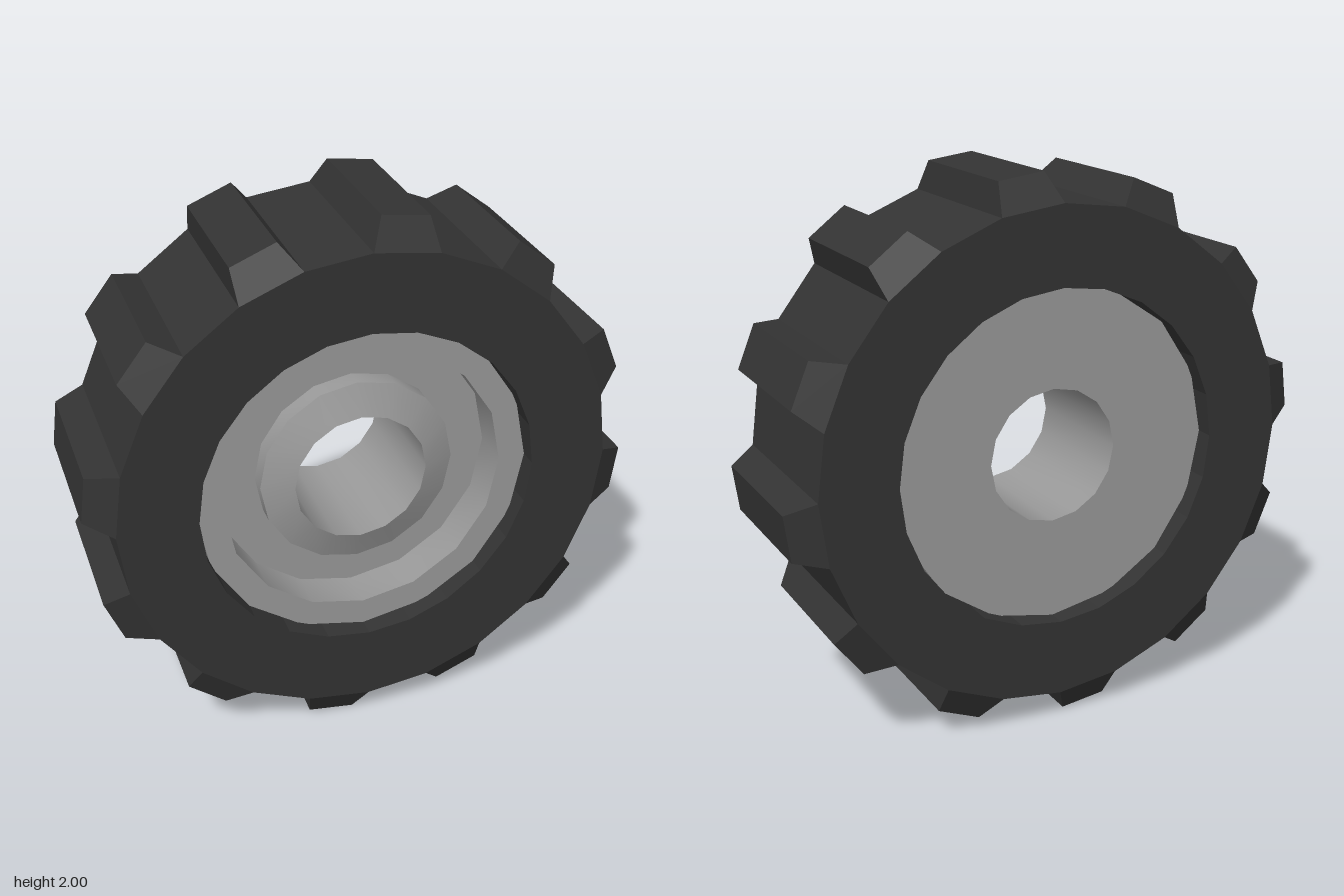
import * as THREE from 'three';
import { toCreasedNormals } from 'three/addons/utils/BufferGeometryUtils.js';

// Revolve a closed (radius, z) profile around the z axis
function revolve(profile, segments) {
  const points = profile.map(([r, z]) => new THREE.Vector2(r, z));
  return new THREE.LatheGeometry(points, segments).rotateX(Math.PI / 2);
}

// Tapered block on one face of the 24-sided tyre, open underneath
function lugGeometry() {
  const ring = (radius, halfAngle, halfZ) =>
    [[-1, -1], [1, -1], [1, 1], [-1, 1]].map(([a, z]) =>
      [radius * Math.sin(a * halfAngle), radius * Math.cos(a * halfAngle), z * halfZ]);
  const corners = [
    ...ring(0.9, Math.PI / 24, 0.337),
    ...ring(1.002, 0.0855, 0.275),
  ];
  const index = [4, 6, 5, 4, 7, 6];
  for (let i = 0; i < 4; i++) {
    const j = (i + 1) % 4;
    index.push(i, j + 4, j, i, i + 4, j + 4);
  }
  const geometry = new THREE.BufferGeometry();
  geometry.setAttribute('position', new THREE.Float32BufferAttribute(corners.flat(), 3));
  geometry.setIndex(index);
  const flat = geometry.toNonIndexed();
  flat.computeVertexNormals();
  return flat;
}

export function createModel() {
  const model = new THREE.Group();
  model.name = 'wheel';
  const rubber = new THREE.MeshStandardMaterial({ color: 0x333333, flatShading: true });
  const metal = new THREE.MeshStandardMaterial({ color: 0x999999 });

  const wheel = new THREE.Group();
  wheel.position.y = 1;
  model.add(wheel);

  // Tyre body: a 24-sided ring
  const tyre = new THREE.Mesh(revolve(
    [[0.9, -0.337], [0.9, 0.337], [0.615, 0.337], [0.615, -0.337], [0.9, -0.337]], 24), rubber);
  tyre.name = 'tyre';
  wheel.add(tyre);

  // Tread lugs on every second face
  const treads = new THREE.Group();
  treads.name = 'treadLugs';
  const lug = lugGeometry();
  for (let i = 0; i < 12; i++) {
    const mesh = new THREE.Mesh(lug, rubber);
    mesh.name = 'treadLug';
    mesh.rotation.z = -(i + 0.25) * Math.PI / 6;
    treads.add(mesh);
  }
  wheel.add(treads);

  // Rim: stepped dish with a raised hub in front, flat at the back, bored through
  const rim = new THREE.Mesh(toCreasedNormals(revolve([
    [0.615, -0.27], [0.615, 0.27], [0.515, 0.27], [0.515, 0.12], [0.36, 0.12],
    [0.36, 0.19], [0.245, 0.235], [0.245, -0.27], [0.615, -0.27],
  ], 16), 0.6), metal);
  rim.name = 'rim';
  wheel.add(rim);

  return model;
}
